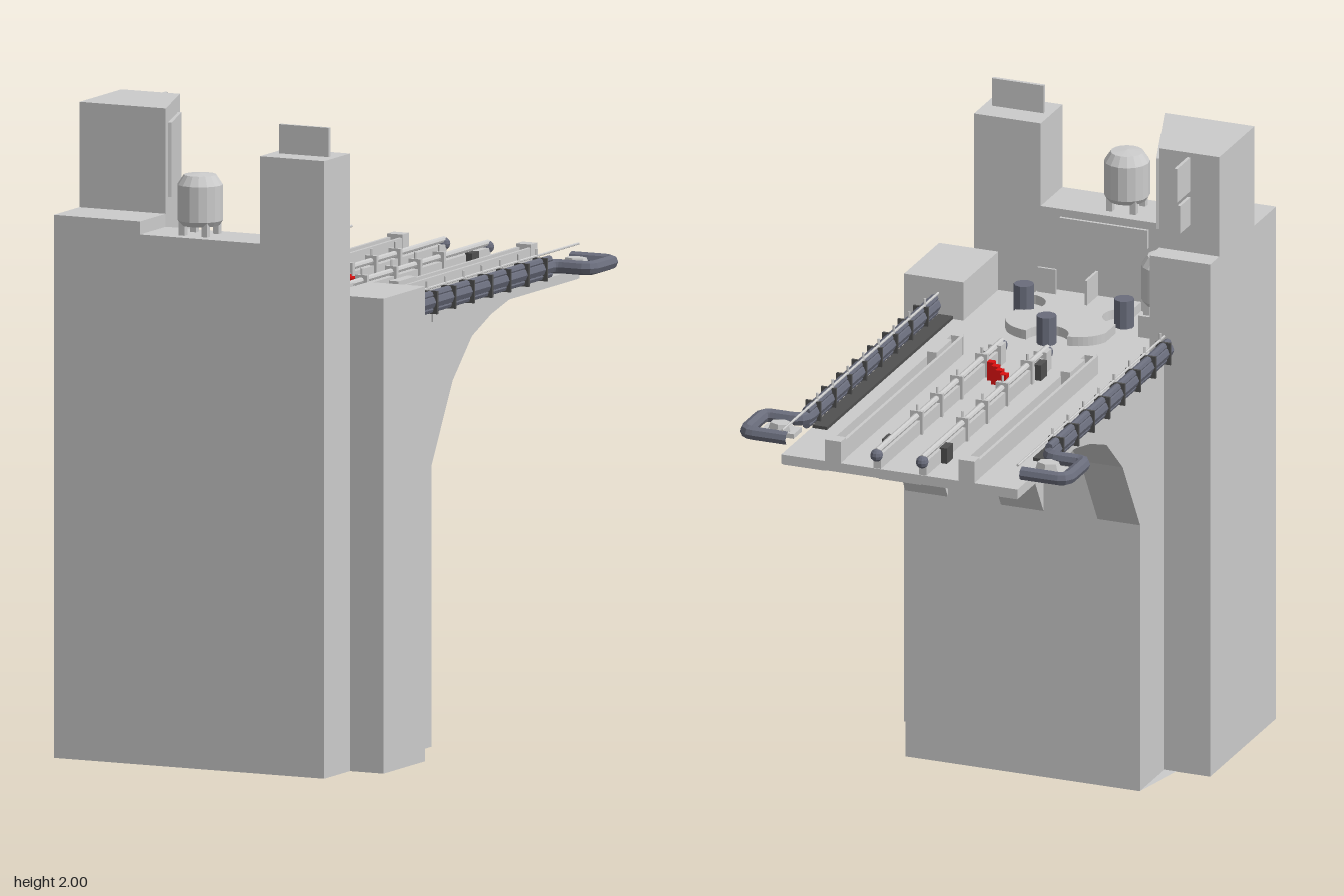
import * as THREE from 'three';

const grey = new THREE.MeshStandardMaterial({ color: 0xcccccc, flatShading: true, side: THREE.DoubleSide });
const dark = new THREE.MeshStandardMaterial({ color: 0x505050, flatShading: true, side: THREE.DoubleSide });
const slate = new THREE.MeshStandardMaterial({ color: 0x6a6d7c, flatShading: true });
const red = new THREE.MeshStandardMaterial({ color: 0xdd1111 });

function add(parent, name, geometry, material = grey) {
  const mesh = new THREE.Mesh(geometry, material);
  mesh.name = name;
  parent.add(mesh);
  return mesh;
}

// Box given by its minimum and maximum on each axis
function box(parent, name, x0, x1, y0, y1, z0, z1, material, openBottom = false) {
  const g = new THREE.BoxGeometry(x1 - x0, y1 - y0, z1 - z0);
  if (openBottom) {
    const index = Array.from(g.index.array);
    index.splice(18, 6);
    g.setIndex(index);
    g.clearGroups();
  }
  g.translate((x0 + x1) / 2, (y0 + y1) / 2, (z0 + z1) / 2);
  return add(parent, name, g, material);
}

// Plan outline (x, z) raised from y0 to y1
function prism(parent, name, shape, y0, y1, material) {
  const g = new THREE.ExtrudeGeometry(shape, { depth: y1 - y0, bevelEnabled: false, curveSegments: 8 });
  g.rotateX(-Math.PI / 2).translate(0, y0, 0);
  return add(parent, name, g, material);
}

function plan(points) {
  return new THREE.Shape(points.map(([x, z]) => new THREE.Vector2(x, -z)));
}

// Round bar between two points
function bar(parent, name, a, b, r, material, sides = 6) {
  const from = new THREE.Vector3(...a), to = new THREE.Vector3(...b);
  const mesh = add(parent, name, new THREE.CylinderGeometry(r, r, from.distanceTo(to), sides), material);
  mesh.position.copy(from).lerp(to, 0.5);
  mesh.quaternion.setFromUnitVectors(new THREE.Vector3(0, 1, 0), to.sub(from).normalize());
}

function tank(parent, x, y, z) {
  const g = new THREE.Group();
  g.name = 'tank';
  const profile = [[0, 0.03], [0.06, 0.03], [0.07, 0.045], [0.07, 0.155], [0.05, 0.185], [0, 0.19]];
  add(g, 'vessel', new THREE.LatheGeometry(profile.map(p => new THREE.Vector2(...p)), 16));
  for (let i = 0; i < 4; i++) {
    const a = Math.PI / 4 + i * Math.PI / 2;
    const px = 0.055 * Math.cos(a), pz = 0.055 * Math.sin(a);
    box(g, 'tankLeg', px - 0.01, px + 0.01, 0, 0.045, pz - 0.01, pz + 0.01);
  }
  g.position.set(x, y, z);
  parent.add(g);
}

export function createModel() {
  const model = new THREE.Group();
  model.name = 'landingTower';

  // Tower body and front wall
  box(model, 'body', -0.388, 0.385, 0, 1.34, 0.14, 0.69, grey, true);
  box(model, 'frontWall', -0.54, 0.385, 0, 1.635, 0.69, 0.863, grey, true);
  box(model, 'wallStep', -0.54, -0.245, 1.635, 1.675, 0.69, 0.863);
  box(model, 'rightTurret', 0.165, 0.385, 1.635, 1.905, 0.69, 0.863);
  box(model, 'rightTurretSlab', 0.19, 0.36, 1.905, 1.995, 0.772, 0.784);
  box(model, 'sideColumn', 0.385, 0.5, 0, 1.465, 0.41, 0.69, grey, true);
  box(model, 'columnTop', 0.305, 0.385, 1.34, 1.465, 0.41, 0.69);
  box(model, 'cornerColumn', -0.54, -0.34, 0, 1.675, 0.335, 0.69, grey, true);
  const base = new THREE.ShapeGeometry(plan([[-0.54, 0.863], [0.385, 0.863], [0.385, 0.14], [-0.388, 0.14]]));
  add(model, 'baseFloor', base.rotateX(-Math.PI / 2).translate(0, 0.001, 0));

  // Control block with a slanted inner face
  const block = [[-0.54, 0.69], [-0.245, 0.69], [-0.34, 0.408], [-0.54, 0.408]];
  prism(model, 'controlBlock', plan(block), 1.34, 2, grey);
  const panel = add(model, 'slantedScreen', new THREE.BoxGeometry(0.012, 0.23, 0.21));
  panel.position.set(-0.288, 1.835, 0.545);
  panel.rotation.y = Math.atan2(0.095, 0.282);
  box(model, 'upperFin', -0.445, -0.435, 1.875, 1.985, 0.303, 0.41);
  box(model, 'lowerFin', -0.445, -0.435, 1.765, 1.855, 0.328, 0.41);

  // Tanks and wall fittings
  tank(model, -0.083, 1.635, 0.777);
  tank(model, -0.3, 1.41, 0.545);
  box(model, 'tankPlinth', -0.36, -0.24, 1.34, 1.41, 0.485, 0.605);
  box(model, 'wallPanel', -0.19, 0.1, 1.55, 1.61, 0.68, 0.69);
  box(model, 'fin', -0.024, -0.016, 1.37, 1.45, 0.6, 0.69);
  box(model, 'console', 0.1, 0.16, 1.37, 1.45, 0.65, 0.658);

  // Deck on three curved ribs
  box(model, 'deck', -0.388, 0.39, 1.31, 1.34, -0.843, 0.14);
  const rib = new THREE.Shape();
  const curve = [[0.14, 0.87], [0, 1.11], [-0.13, 1.23], [-0.26, 1.28], [-0.38, 1.308], [-0.843, 1.308], [-0.843, 1.315], [0.14, 1.315]];
  curve.forEach(([z, y], i) => (i ? rib.lineTo(-z, y) : rib.moveTo(-z, y)));
  for (const x of [-0.318, 0, 0.315]) {
    const g = new THREE.ExtrudeGeometry(rib, { depth: 0.14, bevelEnabled: false });
    add(model, 'rib', g.rotateY(Math.PI / 2).translate(x - 0.07, 0, 0));
  }

  // Raised pad with bays for the three pillars
  const pad = new THREE.Shape();
  pad.moveTo(-0.165, -0.69);
  pad.lineTo(0.165, -0.69);
  pad.lineTo(0.165, -0.622);
  pad.absarc(0.165, -0.555, 0.067, -Math.PI / 2, -Math.PI * 1.5, true);
  pad.lineTo(0.165, -0.405);
  pad.quadraticCurveTo(0.14, -0.345, 0.067, -0.335);
  pad.absarc(0, -0.335, 0.067, 0, -Math.PI, true);
  pad.quadraticCurveTo(-0.14, -0.345, -0.165, -0.405);
  pad.lineTo(-0.165, -0.488);
  pad.absarc(-0.165, -0.555, 0.067, Math.PI / 2, -Math.PI / 2, true);
  prism(model, 'pad', pad, 1.34, 1.37, grey);
  for (const [x, z] of [[0, 0.335], [-0.165, 0.555], [0.165, 0.555]]) {
    bar(model, 'pillar', [x, 0, z], [x, 1.43, z], 0.031, slate, 10);
  }

  for (const s of [-1, 1]) {
    const zEnd = s < 0 ? 0.335 : 0.41;
    const side = new THREE.Group();
    side.name = s < 0 ? 'rightDeckEdge' : 'leftDeckEdge';
    model.add(side);

    // Edge walkway, railing and clamps
    box(side, 'walkway', s * 0.363 - 0.024, s * 0.363 + 0.024, 1.34, 1.35, -0.6, zEnd, dark);
    bar(side, 'handrail', [s * 0.388, 1.418, -0.84], [s * 0.388, 1.418, zEnd], 0.004);
    for (let i = 0; i < 8; i++) {
      const z = -0.56 + i * 0.123;
      bar(side, 'railPost', [s * 0.388, 1.34, z], [s * 0.388, 1.44, z], 0.004);
      box(side, 'clamp', s * 0.4 - 0.025, s * 0.4 + 0.025, 1.342, 1.413, z - 0.004, z + 0.004, dark);
    }

    // Three stacked pipes, the middle one wider and looping at the end
    for (const y of [1.356, 1.4]) bar(side, 'edgePipe', [s * 0.4, y, -0.62], [s * 0.4, y, zEnd], 0.013, slate, 8);
    const path = new THREE.CurvePath();
    const pts = [[0.4, zEnd], [0.4, -0.6], [0.44, -0.64], [0.5, -0.64], [0.53, -0.67], [0.53, -0.77], [0.5, -0.8], [0.385, -0.8]]
      .map(([x, z]) => new THREE.Vector3(s * x, 1.378, z));
    const corners = { 1: 0, 3: 1, 5: 2 };
    pts.slice(1).forEach((p, i) => {
      const a = pts[i];
      if (i in corners) {
        const c = [[0.4, -0.64], [0.53, -0.64], [0.53, -0.8]][corners[i]];
        path.add(new THREE.QuadraticBezierCurve3(a, new THREE.Vector3(s * c[0], 1.378, c[1]), p));
      } else path.add(new THREE.LineCurve3(a, p));
    });
    add(side, 'loopPipe', new THREE.TubeGeometry(path, 90, 0.022, 8), slate);

    // Lamp inside the loop
    box(side, 'lampTray', s * 0.44 - 0.055, s * 0.44 + 0.055, 1.36, 1.375, -0.755, -0.69);
    const lamp = add(side, 'lamp', new THREE.CylinderGeometry(0.025, 0.03, 0.02, 6));
    lamp.position.set(s * 0.44, 1.385, -0.722);
    lamp.scale.x = 1.4;

    // Outer track: paired beams with an end stop and a carriage
    for (const x of [0.201, 0.24]) box(side, 'trackBeam', s * x - 0.005, s * x + 0.005, 1.34, 1.4, -0.84, 0.15);
    box(side, 'trackStop', s * 0.22 - 0.026, s * 0.22 + 0.026, 1.34, 1.41, -0.843, -0.8);
    box(side, 'carriage', s * 0.22 - 0.016, s * 0.22 + 0.016, 1.35, 1.415, -0.05, 0.07);
    const nose = [[-0.025, 0.14], [0.025, 0.14], [0.012, 0.175], [-0.012, 0.175]].map(([x, z]) => [s * 0.22 + x, z]);
    prism(side, 'trackNose', plan(nose), 1.34, 1.4, grey);

    // Inner track: beam with a rail, brackets and round ends
    const x = s * 0.075;
    box(side, 'innerBeam', x - 0.012, x + 0.012, 1.34, 1.385, -0.84, 0.16);
    bar(side, 'innerRail', [x, 1.398, -0.845], [x, 1.398, 0.16], 0.01, grey, 8);
    for (const z of [-0.845, 0.155]) add(side, 'railEnd', new THREE.SphereGeometry(0.02, 10, 6), slate).position.set(x, 1.385, z);
    for (const z of [-0.52, -0.36, -0.2, 0]) {
      box(side, 'bracket', x - 0.02, x + 0.02, 1.34, 1.415, z - 0.007, z + 0.007);
      bar(side, 'trackPost', [x, 1.4, z], [x, 1.435, z], 0.004);
    }
    for (const z of [-0.7, 0.055]) box(side, 'motor', s * 0.095 - 0.012, s * 0.095 + 0.012, 1.34, 1.39, z - 0.025, z + 0.025, dark);
    box(side, 'innerStop', x - 0.022, x + 0.022, 1.34, 1.405, 0.1, 0.14);
  }

  // Diagonal row of red markers
  for (let i = 0; i < 4; i++) {
    const x = -0.038 + i * 0.025, z = -0.097 + i * 0.027;
    box(model, 'redMarker', x - 0.011, x + 0.011, 1.34, 1.4, z - 0.011, z + 0.011, red);
  }
  return model;
}
